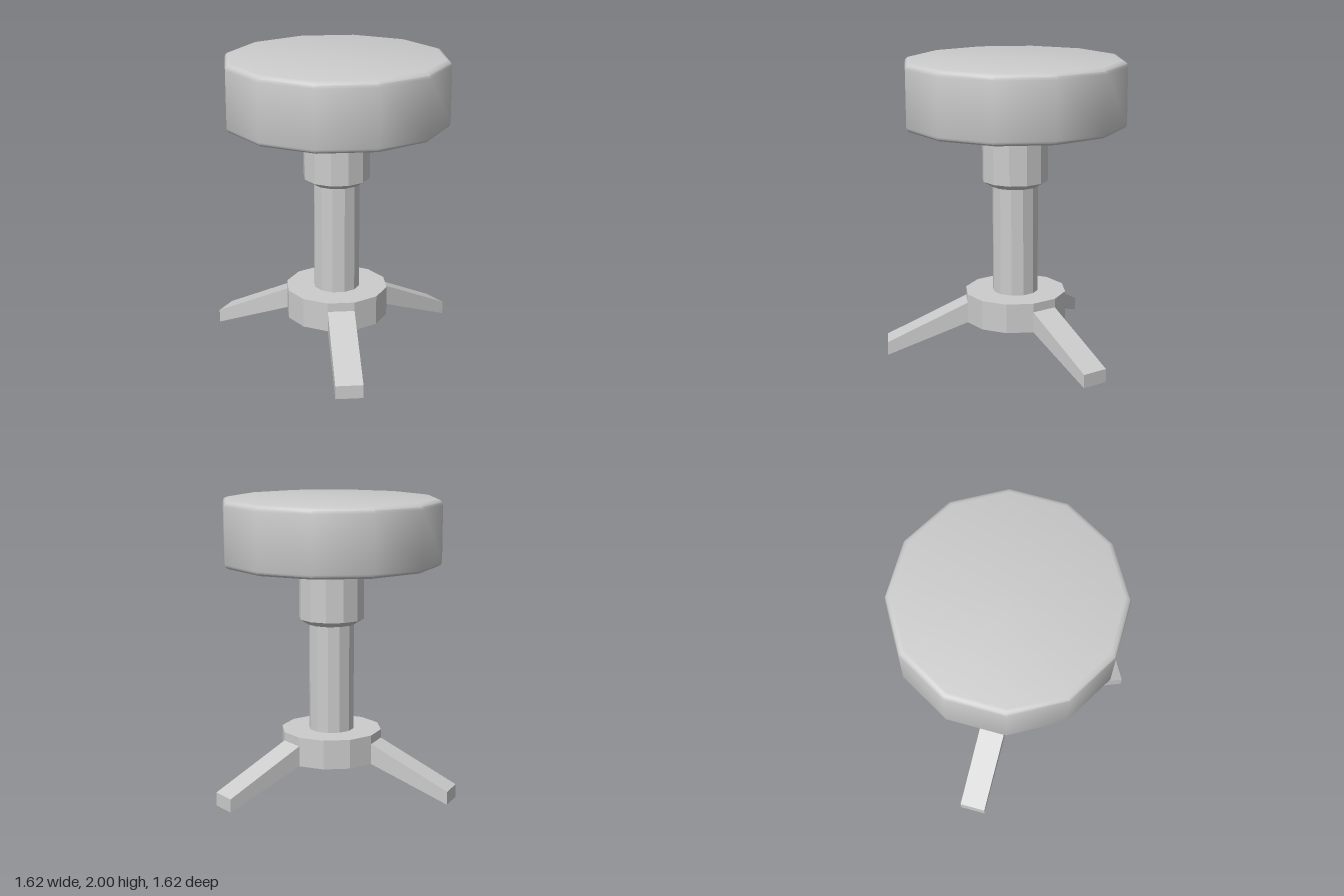
import * as THREE from 'three';
import { toCreasedNormals } from 'three/addons/utils/BufferGeometryUtils.js';

const SIDES = 12;

export function createModel() {
  const stool = new THREE.Group();
  stool.name = 'stool';
  stool.position.set(0.06, 0, 0.06); // column axis sits slightly off the bounding centre

  const smooth = new THREE.MeshStandardMaterial({ color: 0xcccccc });
  const flat = new THREE.MeshStandardMaterial({ color: 0xcccccc, flatShading: true });

  const add = (name, geometry, material) => {
    const mesh = new THREE.Mesh(geometry, material);
    mesh.name = name;
    stool.add(mesh);
    return mesh;
  };
  // Twelve-sided turned part; profile of [radius, y] from bottom to top
  const turned = (profile) =>
    new THREE.LatheGeometry(profile.map(([r, y]) => new THREE.Vector2(r, y)), SIDES);

  // Padded seat: shallow cone underneath, rounded rims, flat top
  const R = 0.745, b = 0.04;
  const seatProfile = [[0, 1.475], [0.21, 1.495], [R - b, 1.553]];
  for (const a of [-60, -30, 0]) {
    const t = THREE.MathUtils.degToRad(a);
    seatProfile.push([R - b + b * Math.cos(t), 1.585 + 0.032 * Math.sin(t)]);
  }
  for (const a of [0, 30, 60, 90]) {
    const t = THREE.MathUtils.degToRad(a);
    seatProfile.push([R - b + b * Math.cos(t), 2 - b + b * Math.sin(t)]);
  }
  seatProfile.push([0, 2]);
  add('seat', toCreasedNormals(turned(seatProfile), THREE.MathUtils.degToRad(38)), smooth);

  // Collar under the seat with a chamfered lower edge
  add('collar', turned([[0.155, 1.15], [0.165, 1.15], [0.223, 1.187], [0.223, 1.5]]), flat);

  // Central post
  add('post', turned([[0.155, 0.41], [0.155, 1.16]]), flat);

  // Hub that carries the legs
  add('hub', turned([[0, 0.215], [0.345, 0.215], [0.345, 0.415], [0, 0.415]]), flat);

  // Three tapered legs, each growing from one face of the hub
  const width = 0.178;
  const side = new THREE.Shape([
    new THREE.Vector2(0.333, 0.215),
    new THREE.Vector2(0.88, 0),
    new THREE.Vector2(0.88, 0.09),
    new THREE.Vector2(0.333, 0.355),
  ]);
  const legGeometry = new THREE.ExtrudeGeometry(side, { depth: width, bevelEnabled: false });
  legGeometry.translate(0, 0, -width / 2);
  ['frontLeg', 'rightLeg', 'backLeg'].forEach((name, i) => {
    add(name, legGeometry, flat).rotation.y = -THREE.MathUtils.degToRad(45 + i * 120);
  });

  const model = new THREE.Group();
  model.add(stool);
  return model;
}
